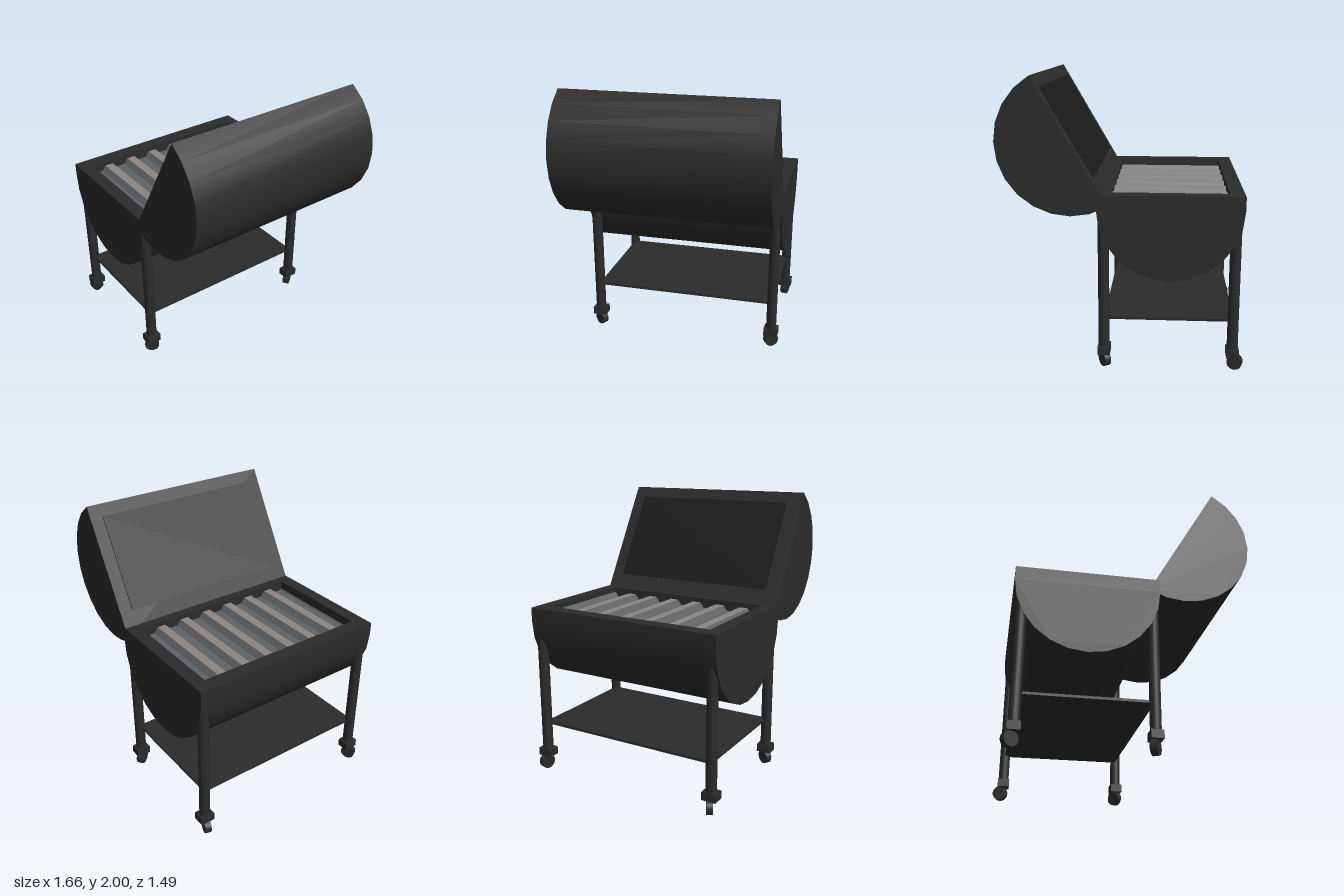
import * as THREE from 'three';
import { toCreasedNormals } from 'three/addons/utils/BufferGeometryUtils.js';

const R = 0.49, HALF = 0.735, STEP = Math.PI / 12;
const BODY_X = -0.32, BODY_Y = 1.135, RIM_Y = 1.23;
const IN_L = -0.71, IN_R = 0.08, IN_Z = 0.64;

export function createModel() {
  const group = new THREE.Group();
  const mat = (color) => new THREE.MeshStandardMaterial({ color });
  const black = mat(0x2b2b2b), dark = mat(0x1b1b1b);
  const steel = mat(0x606366), warm = mat(0x8e8580);
  steel.side = THREE.DoubleSide;
  warm.side = THREE.DoubleSide;

  const add = (name, geo, material, x = 0, y = 0, z = 0, parent = group) => {
    const mesh = new THREE.Mesh(geo, material);
    mesh.name = name;
    mesh.position.set(x, y, z);
    parent.add(mesh);
    return mesh;
  };
  // Points of a half circle below the x axis, from left to right
  const halfCircle = () => Array.from({ length: 13 }, (_, i) =>
    new THREE.Vector2(R * Math.cos(Math.PI + i * STEP), R * Math.sin(Math.PI + i * STEP)));
  // Extrude a section along z with smooth curved sides and sharp edges
  const prism = (points, z0, z1) => {
    const geo = new THREE.ExtrudeGeometry(new THREE.Shape(points), { depth: z1 - z0, bevelEnabled: false });
    return toCreasedNormals(geo.translate(0, 0, z0), 0.5);
  };
  const V = (x, y) => new THREE.Vector2(x, y);

  // Barrel: notched middle section between two solid ends
  const top = RIM_Y - BODY_Y;
  const floor = 1.13 - BODY_Y;
  const l = IN_L - BODY_X, r = IN_R - BODY_X;
  const solid = [...halfCircle(), V(R, top), V(-R, top)];
  const notched = [...halfCircle(), V(R, top), V(r, top), V(r, floor), V(l, floor), V(l, top), V(-R, top)];
  add('barrel', prism(notched, -IN_Z, IN_Z), black, BODY_X, BODY_Y);
  add('barrelFrontEnd', prism(solid, IN_Z, HALF), black, BODY_X, BODY_Y);
  add('barrelBackEnd', prism(solid, -HALF, -IN_Z), black, BODY_X, BODY_Y);

  // Open lid: half barrel tipped back, with a liner on its flat face
  const lid = new THREE.Group();
  lid.name = 'lid';
  lid.position.set(0.34, 1.575, 0);
  lid.rotation.z = Math.PI / 3;
  group.add(lid);
  add('lidShell', prism(halfCircle(), -HALF, HALF), black, 0, 0, 0, lid);
  add('lidLiner', new THREE.BoxGeometry(0.69, 0.02, 1.26), dark, 0.055, -0.003, -0.012, lid);

  // Corrugated grate: raised warm strips joined by slopes to low steel strips
  const strip = (name, z0, y0, z1, y1, material) => {
    const a = Math.max(z0, -IN_Z), b = Math.min(z1, IN_Z);
    if (b - a < 0.001) return;
    const at = (z) => y0 + (y1 - y0) * (z - z0) / (z1 - z0);
    const geo = new THREE.BufferGeometry();
    geo.setAttribute('position', new THREE.Float32BufferAttribute([
      IN_L, at(a), a, IN_L, at(b), b, IN_R, at(b), b, IN_R, at(a), a], 3));
    geo.setIndex([0, 1, 2, 0, 2, 3]);
    geo.computeVertexNormals();
    add(name, geo, material);
  };
  const low = 1.155, high = 1.195;
  for (let i = 0; i < 7; i++) {
    const z = -IN_Z + i * 0.195;
    strip('grateSlope', z, high, z + 0.031, low, steel);
    strip('grateValley', z + 0.031, low, z + 0.101, low, steel);
    strip('grateRise', z + 0.101, low, z + 0.132, high, steel);
    strip('grateRidge', z + 0.132, high, z + 0.195, high, warm);
  }

  // Shelf between the legs
  add('shelf', new THREE.BoxGeometry(0.88, 0.018, 1.376), black, -0.317, 0.355, 0);

  // Legs with swivel casters; each wheel is turned by its own angle
  const legs = [
    [-0.757, 0.688, 0.5, -0.02], [-0.757, -0.688, -0.29, -0.02],
    [0.126, 0.688, 1.0, -0.004], [0.126, -0.688, -1.0, -0.004],
  ];
  for (const [x, z, yaw, shift] of legs) {
    add('leg', new THREE.CylinderGeometry(0.038, 0.038, 0.96, 16), black, x, 0.6, z);
    add('casterBlock', new THREE.BoxGeometry(0.085, 0.057, 0.105), black, x, 0.127, z);
    const wheel = new THREE.CylinderGeometry(0.053, 0.053, 0.045, 14).rotateX(Math.PI / 2);
    add('casterWheel', wheel, black, x + shift, 0.053, z).rotation.y = yaw;
  }
  return group;
}
